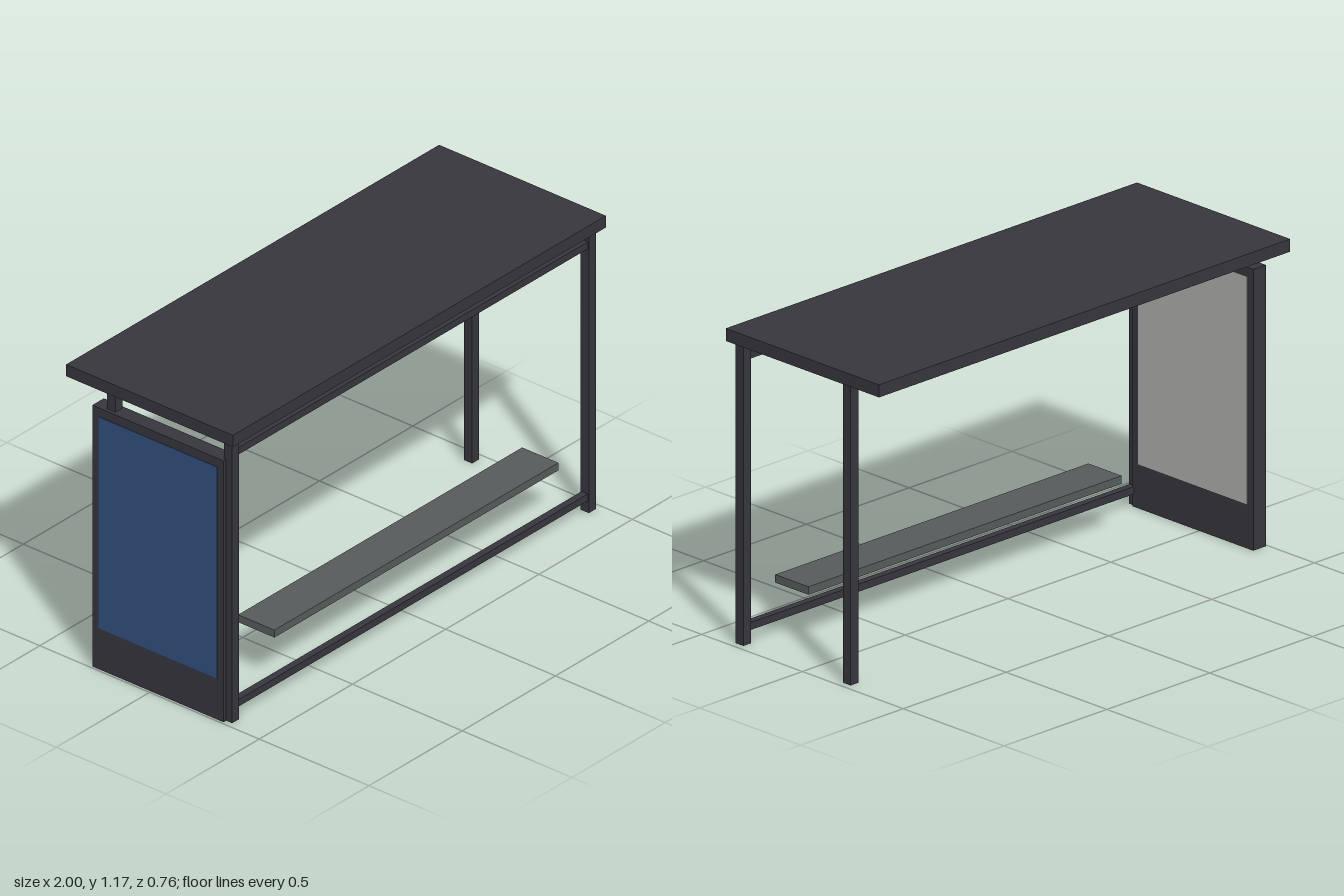
import * as THREE from 'three';

export function createModel() {
  const group = new THREE.Group();
  const mat = (name, color) => {
    const m = new THREE.MeshStandardMaterial({ color });
    m.name = name;
    return m;
  };
  const frame = mat('dark frame', 0x37363d);
  const bench = mat('bench grey', 0x565b5b);
  const pale = mat('pale poster', 0xb0b2ad);
  const blue = mat('blue poster', 0x33507f);

  // Box given by its lower and upper bounds on each axis
  const box = (name, material, [x0, x1], [y0, y1], [z0, z1]) => {
    const mesh = new THREE.Mesh(new THREE.BoxGeometry(x1 - x0, y1 - y0, z1 - z0), material);
    mesh.position.set((x0 + x1) / 2, (y0 + y1) / 2, (z0 + z1) / 2);
    mesh.name = name;
    group.add(mesh);
  };

  // Flat roof slab
  box('roof', frame, [-1, 1], [1.126, 1.173], [-0.38, 0.38]);

  // Four posts
  for (const x of [-0.958, 0.955]) {
    for (const [end, z] of [['front', 0.338], ['back', -0.194]]) {
      box(`${end}${x > 0 ? 'Left' : 'Right'}Post`, frame,
        [x - 0.019, x + 0.019], [0, 1.126], [z - 0.019, z + 0.019]);
    }
  }

  // Rails joining the front posts
  box('topRail', frame, [-0.94, 0.937], [1.058, 1.086], [0.324, 0.352]);
  box('bottomRail', frame, [-0.94, 0.937], [0.047, 0.075], [0.324, 0.352]);

  // Bench plank
  box('benchSeat', bench, [-0.693, 0.83], [0.2, 0.23], [0.143, 0.308]);

  // Display panel on one end with a poster on each face
  box('displayPanel', frame, [-0.991, -0.93], [0, 1.048], [-0.268, 0.33]);
  box('innerPoster', pale, [-0.931, -0.928], [0.165, 1.013], [-0.239, 0.302]);
  box('outerPoster', blue, [-0.993, -0.99], [0.165, 1.013], [-0.239, 0.302]);

  return group;
}
